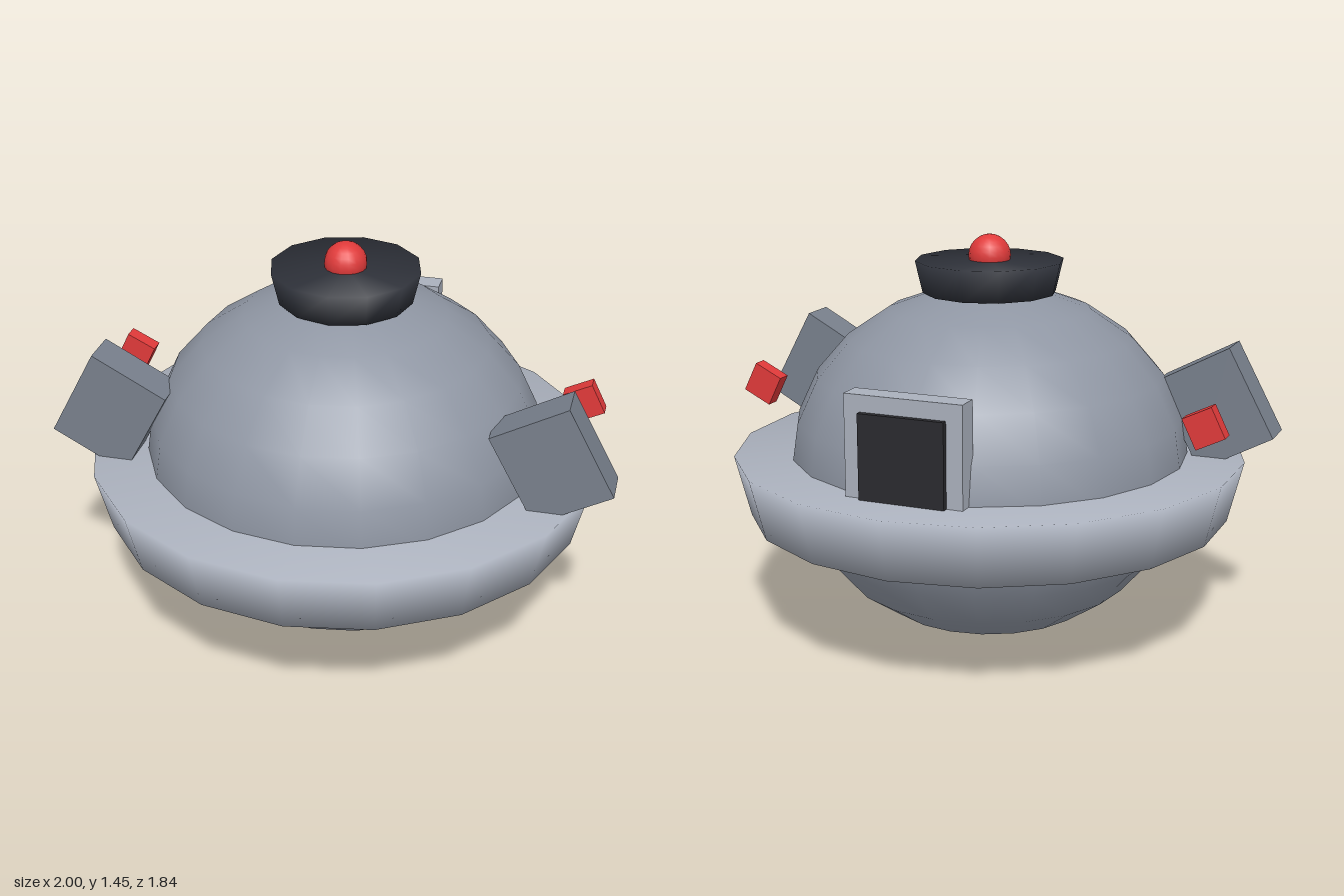
import * as THREE from 'three';
import { mergeVertices } from 'three/addons/utils/BufferGeometryUtils.js';

const paint = (color) => new THREE.MeshStandardMaterial({ color });

export function createModel() {
  const model = new THREE.Group();
  const hull = paint(0x8f96a3);
  const trim = paint(0xaab0bc);
  const slate = paint(0x78808c);
  const dark = paint(0x2d3038);
  const red = paint(0xe03a3a);

  const add = (name, geometry, material, x, y, z) => {
    const mesh = new THREE.Mesh(geometry, material);
    mesh.name = name;
    mesh.position.set(x, y, z);
    model.add(mesh);
    return mesh;
  };

  // Tapered drum with normals blended across its rims
  const softDrum = (top, bottom, height, sides) => {
    const g = new THREE.CylinderGeometry(top, bottom, height, sides);
    g.deleteAttribute('normal');
    g.deleteAttribute('uv');
    const merged = mergeVertices(g, 1e-4);
    merged.computeVertexNormals();
    return merged;
  };

  // Slightly flattened round body
  const body = add('body', new THREE.SphereGeometry(0.72, 20, 12), hull, 0, 0.637, 0);
  body.scale.y = 0.635 / 0.72;

  // Wide belt, dark top collar and beacon
  add('beltRing', softDrum(0.92, 0.865, 0.22, 18), trim, 0, 0.56, 0);
  add('topCollar', softDrum(0.265, 0.238, 0.115, 12), dark, 0, 1.3025, 0);
  add('beacon', new THREE.SphereGeometry(0.075, 16, 12), red, 0, 1.375, 0);

  // Tilted side pods and small red lamps
  for (const side of [1, -1]) {
    const label = side > 0 ? 'left' : 'right';
    const pod = add(label + 'Pod', new THREE.BoxGeometry(0.298, 0.354, 0.14), slate, side * 0.783, 0.845, 0.25);
    pod.rotation.z = side * 0.495;
    const lamp = add(label + 'Lamp', new THREE.BoxGeometry(0.112, 0.116, 0.055), red, side * 0.84, 0.868, -0.143);
    lamp.rotation.z = side * 0.46;
  }

  // Rear hatch: light frame with a dark panel
  add('hatchFrame', new THREE.BoxGeometry(0.42, 0.4, 0.083), trim, 0, 0.82, -0.688);
  add('hatchPanel', new THREE.BoxGeometry(0.305, 0.3, 0.04), paint(0x2a2a2e), 0, 0.812, -0.73);

  return model;
}
